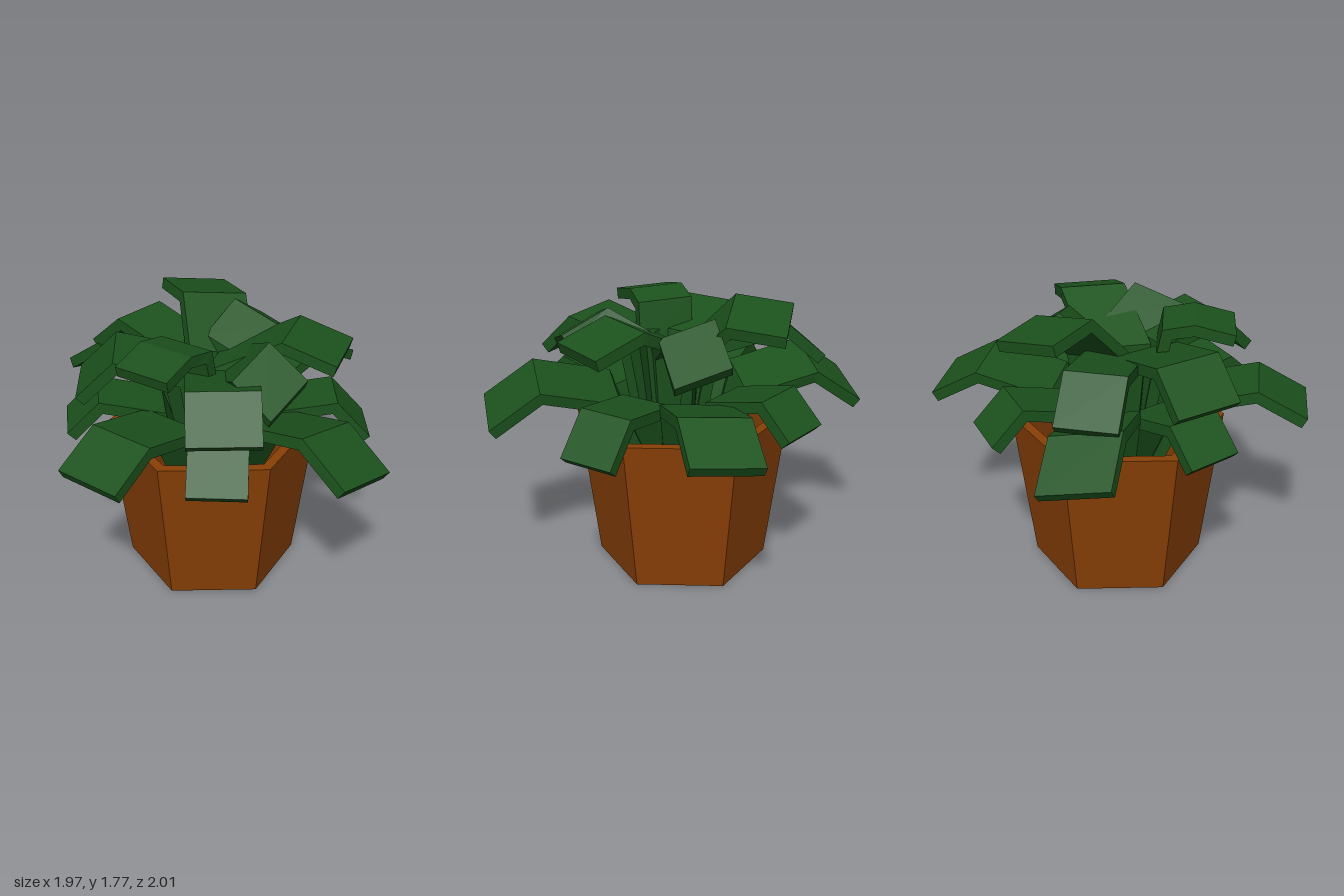
import * as THREE from 'three';

const leafGreen = new THREE.MeshStandardMaterial({ color: 0x1c521d });
leafGreen.name = 'leafGreen';
leafGreen.flatShading = true;
const terracotta = new THREE.MeshStandardMaterial({ color: 0x8a4005, side: THREE.DoubleSide });
terracotta.name = 'terracotta';
terracotta.flatShading = true;

const THICK = 0.07;

// Bent slab following the top centre line; roll is the sideways slope of the blade.
function makeLeaf(name, points, width, roll = 0) {
  const path = points.map(p => new THREE.Vector3(...p));
  const n = path.length - 1;
  const dir = path[n].clone().sub(path[n - 1]).setY(0).normalize();
  const side = new THREE.Vector3(dir.z, roll, -dir.x);
  const segNormal = i => path[i + 1].clone().sub(path[i]).cross(side).normalize();

  const rings = path.map((p, i) => {
    const a = segNormal(Math.max(i - 1, 0));
    const b = segNormal(Math.min(i, n - 1));
    const miter = a.clone().add(b).normalize();
    return { p, down: miter.multiplyScalar(-THICK / Math.max(0.75, miter.dot(a))), w: i === 0 ? width * 0.5 : width };
  });

  const geo = new THREE.BoxGeometry(1, 1, 1, 1, 1, n).toNonIndexed();
  const pos = geo.attributes.position;
  for (let v = 0; v < pos.count; v++) {
    const { p, down, w } = rings[Math.round((pos.getZ(v) + 0.5) * n)];
    const q = p.clone().addScaledVector(side, pos.getX(v) * w);
    if (pos.getY(v) < 0) q.add(down);
    pos.setXYZ(v, q.x, q.y, q.z);
  }
  geo.computeVertexNormals();
  const mesh = new THREE.Mesh(geo, leafGreen);
  mesh.name = name;
  return mesh;
}

// Leaf running straight from a root to a tip; profile holds [fraction, height].
function radialLeaf(name, [x, z], [x0, z0], profile, width, roll) {
  const points = profile.map(([t, y]) => [
    THREE.MathUtils.lerp(x0, x, t), y, THREE.MathUtils.lerp(z0, z, t)]);
  return makeLeaf(name, points, width, roll);
}

export function createModel() {
  const model = new THREE.Group();
  model.name = 'pottedPlant';

  // Six-sided pot: outer wall, rim and inner wall meeting at the bottom edge
  const profile = [[0.545, 0], [0.67, 1], [0.6, 1], [0.544, 0]].map(p => new THREE.Vector2(...p));
  const pot = new THREE.Mesh(new THREE.LatheGeometry(profile, 6, Math.PI / 2), terracotta);
  pot.name = 'pot';
  pot.position.set(-0.04, 0, -0.055);
  model.add(pot);

  const leaves = new THREE.Group();
  leaves.name = 'leaves';
  model.add(leaves);

  // Lower tier: long wide leaves on the diagonals, [tip, tip height, roll]
  [
    [[0.822, 0.82], 1.1, -0.17],
    [[-0.757, 0.865], 1.15, 0],
    [[-0.84, -0.832], 1.1, 0.2],
    [[0.795, -0.862], 1.14, -0.1],
  ].forEach(([tip, tipY, roll]) => {
    const diagonal = [[0.08, 0.45], [0.34, 1.2], [0.74, 1.31], [1, tipY]];
    leaves.add(radialLeaf('lowerDiagonalLeaf', tip, [-0.03, -0.04], diagonal, 0.43, roll));
  });

  // Lower tier: shorter, narrower leaves between them, [tip, root, crease height, tip height]
  [
    [[0.94, -0.01], [-0.03, -0.01], 1.24, 1.0],
    [[-0.035, 0.935], [0.035, -0.04], 1.28, 1.08],
    [[-0.945, 0.04], [-0.03, -0.05], 1.28, 1.08],
    [[0.037, -0.95], [-0.07, -0.04], 1.28, 1.08],
  ].forEach(([tip, root, creaseY, tipY]) => {
    const straight = [[0.08, 0.45], [0.34, 1.18], [0.78, creaseY], [1, tipY]];
    leaves.add(radialLeaf('lowerStraightLeaf', tip, root, straight, 0.35));
  });

  // Middle tier: [tip, root, width]
  const middle = [[0.05, 0.5], [0.2, 1.48], [0.73, 1.585], [1, 1.36]];
  [
    [[0.01, 0.85], [0.01, 0], 0.43],
    [[-0.855, 0.055], [0, 0.055], 0.43],
    [[-0.68, -0.655], [0, 0], 0.37],
  ].forEach(([tip, root, width]) =>
    leaves.add(radialLeaf('middleLeaf', tip, root, middle, width)));

  // Top tier: [width, roll, centre line]
  const top = [
    [0.36, 0, [[-0.05, 0.5, 0.03], [-0.16, 1.45, 0.14], [-0.19, 1.66, 0.17], [-0.31, 1.7, 0.32], [-0.45, 1.64, 0.52]]],
    [0.43, 0.19, [[0, 0.5, -0.05], [0.03, 1.45, -0.14], [-0.01, 1.73, -0.405], [-0.14, 1.69, -0.735]]],
    [0.41, 0, [[-0.03, 0.5, -0.03], [-0.02, 1.46, -0.04], [0.435, 1.69, 0.05], [0.75, 1.59, 0.17]]],
    [0.33, 0.38, [[0.02, 0.5, 0.02], [0.08, 1.5, 0.11], [0.175, 1.65, 0.395], [0.385, 1.5, 0.59]]],
    [0.35, 0.25, [[0.02, 0.5, -0.03], [0.06, 1.5, -0.08], [0.25, 1.66, -0.26], [0.44, 1.46, -0.49]]],
  ];
  top.forEach(([width, roll, points]) => leaves.add(makeLeaf('topLeaf', points, width, roll)));

  return model;
}
